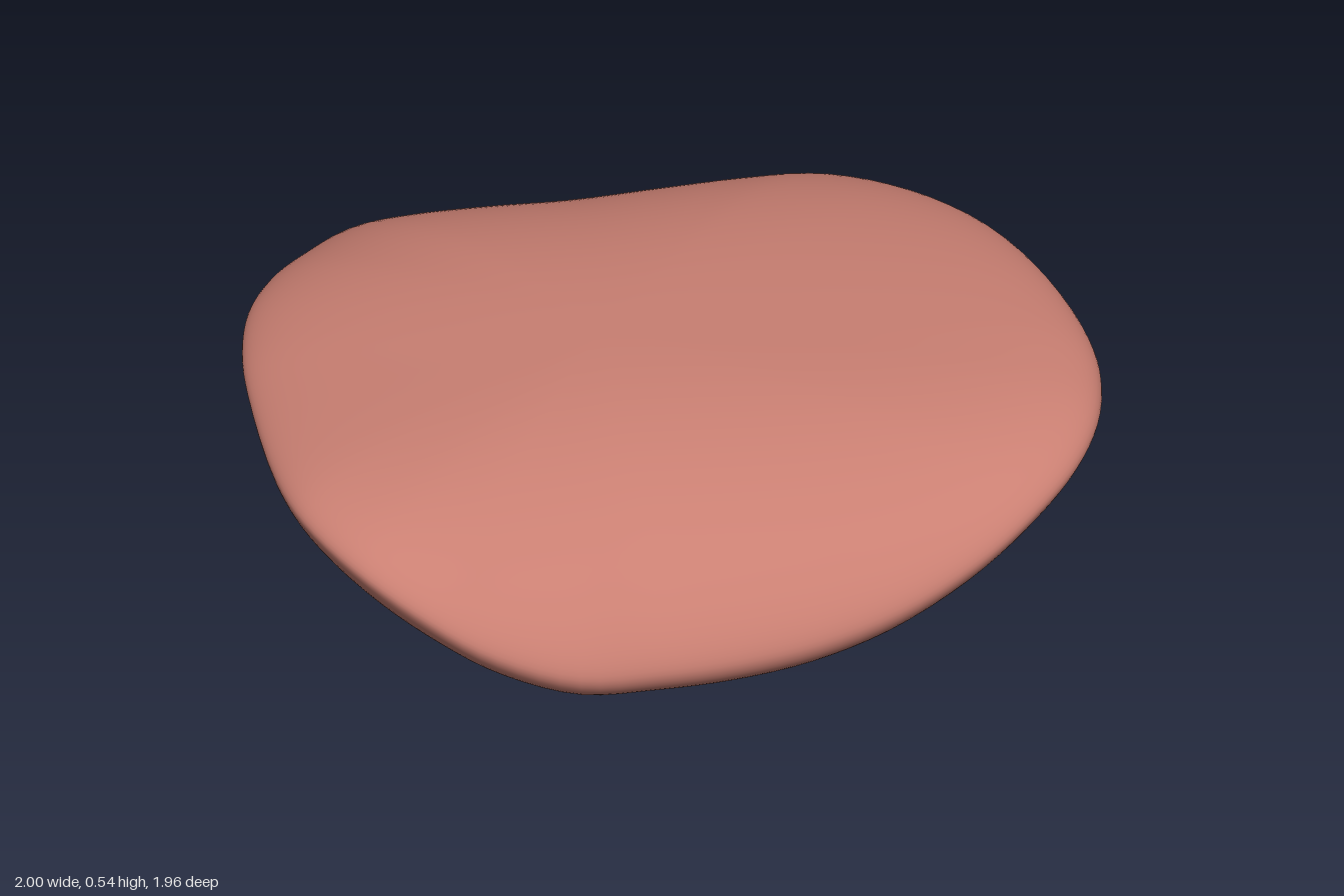
import * as THREE from 'three';
import { mergeVertices } from 'three/addons/utils/BufferGeometryUtils.js';

// Rim of the curved pad, clockwise from the middle of the back: x, y, z
const RIM = [
  [0, .24, -.98], [.25, .25, -.975], [.45, .285, -.93], [.6, .335, -.84], [.75, .4, -.63],
  [.88, .445, -.36], [.96, .47, -.05], [.995, .473, .25], [.985, .465, .42], [.94, .45, .58],
  [.86, .42, .71], [.75, .375, .81], [.6, .305, .89], [.4, .225, .945], [.2, .17, .965],
  [0, .14, .965], [-.2, .13, .96], [-.4, .15, .975], [-.6, .22, .94], [-.75, .305, .88],
  [-.88, .38, .77], [-.97, .425, .6], [-1, .44, .42], [-.98, .44, 0], [-.95, .435, -.2],
  [-.89, .42, -.4], [-.8, .395, -.57], [-.7, .36, -.71], [-.55, .31, -.88], [-.4, .275, -.95],
  [-.2, .25, -.98],
];
const AROUND = 128, ROWS = 64, CENTRE_X = -0.12;

// Closed skin: rings run from the crown over the rim to the keel
function padGeometry() {
  const curve = new THREE.CatmullRomCurve3(RIM.map(p => new THREE.Vector3(...p)), true);
  const positions = [], index = [];
  for (let k = 0; k <= ROWS; k++) {
    const angle = Math.PI * k / ROWS;
    const s = k === 0 || k === ROWS ? 0 : Math.sin(angle);
    const round = Math.sqrt(Math.max(0, 1 - s ** 7));
    for (let i = 0; i < AROUND; i++) {
      const rim = curve.getPoint(i / AROUND);
      const length = Math.hypot(rim.x, rim.z);
      const a = rim.x / length, b = rim.z / length;
      // the rim is thicker along the front lip
      const half = 0.06 + 0.06 * Math.max(0, b) ** 2 * s * s;
      const x = CENTRE_X * (1 - s) + rim.x * s, z = rim.z * s;
      let y;
      if (k <= ROWS / 2) {
        // domed top that falls away to front and back
        y = rim.y + (0.467 - rim.y) * (1 - s ** 2.6) + half * round;
        y += 0.045 * Math.max(0, x) ** 2 * (1 - z * z) * round;
      } else {
        // keeled underside, steeper on one side
        const power = a * a * (a > 0 ? 1.8 : 2.5) + b * b * 3;
        y = rim.y + (0.08 - rim.y) * (1 - s ** power) - half * round;
      }
      positions.push(x, y, z);
    }
  }
  for (let k = 0; k < ROWS; k++) {
    for (let i = 0; i < AROUND; i++) {
      const j = (i + 1) % AROUND;
      const p = k * AROUND + i, q = k * AROUND + j;
      if (k > 0) index.push(p, q, q + AROUND);
      if (k < ROWS - 1) index.push(p, q + AROUND, p + AROUND);
    }
  }
  const raw = new THREE.BufferGeometry();
  raw.setAttribute('position', new THREE.Float32BufferAttribute(positions, 3));
  raw.setIndex(index);
  const geometry = mergeVertices(raw, 1e-5);
  geometry.computeBoundingBox();
  geometry.translate(0, -geometry.boundingBox.min.y, 0);
  geometry.computeVertexNormals();
  return geometry;
}

export function createModel() {
  const group = new THREE.Group();
  group.name = 'curvedPad';
  const skin = new THREE.MeshStandardMaterial({ color: 0xc97f72 });
  skin.name = 'dusty pink';
  const pad = new THREE.Mesh(padGeometry(), skin);
  pad.name = 'padBody';
  group.add(pad);
  return group;
}
